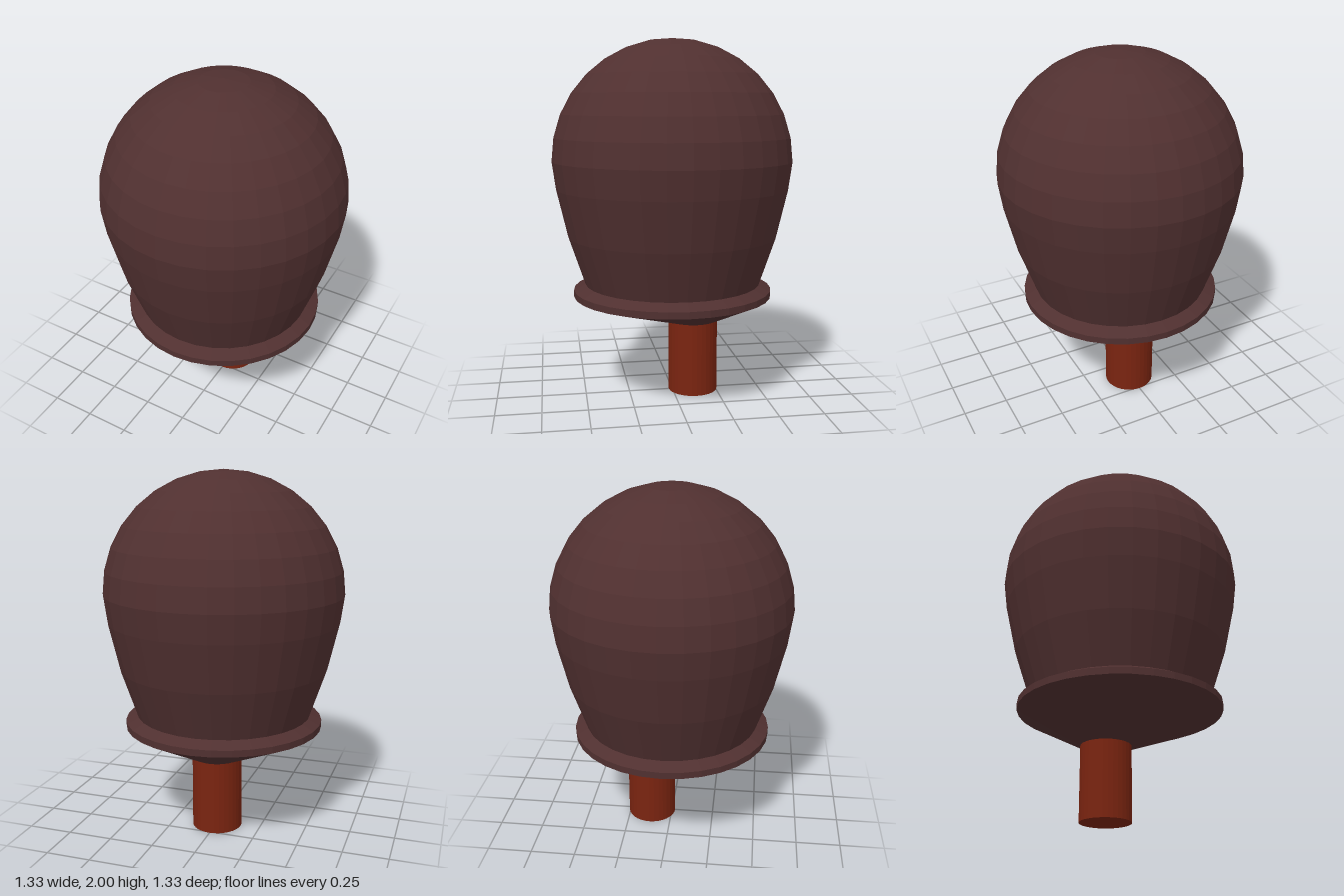
import * as THREE from 'three';

const SEGMENTS = 32;
const STICK_Z = -0.12;
const STICK_RADIUS = 0.14;
const STICK_TOP = 0.415;

// Faceted look: every face gets its own normal
function faceted(geometry) {
  const flat = geometry.toNonIndexed();
  flat.computeVertexNormals();
  return flat;
}

function lathe(profile) {
  return new THREE.LatheGeometry(profile.map(([r, y]) => new THREE.Vector2(r, y)), SEGMENTS);
}

export function createModel() {
  const group = new THREE.Group();
  const coating = new THREE.MeshStandardMaterial({ color: 0x503030 });
  coating.name = 'dark brown';
  const wood = new THREE.MeshStandardMaterial({ color: 0x7a2410 });
  wood.name = 'red brown';

  const add = (name, geometry, material) => {
    const mesh = new THREE.Mesh(faceted(geometry), material);
    mesh.name = name;
    group.add(mesh);
    return mesh;
  };

  // Tapered lower body rising into a hemispherical top
  const radius = 0.667, centreY = 1.333, rings = 8;
  const profile = [[0.493, 0.643], [0.584, 0.913], [0.646, 1.18]];
  for (let i = 0; i < rings; i++) {
    const a = (i / rings) * Math.PI / 2;
    profile.push([radius * Math.cos(a), centreY + radius * Math.sin(a)]);
  }
  profile.push([0, 2]);
  add('body', lathe(profile), coating);

  // Flared rim with a narrow upright edge
  add('rim', lathe([[0.558, 0.573], [0.558, 0.61], [0.493, 0.643]]), coating);

  // Underside cone, skewed to meet the off-centre stick
  const underside = lathe([[STICK_RADIUS, STICK_TOP], [0.558, 0.573]]);
  const p = underside.attributes.position;
  for (let i = 0; i < p.count; i++) {
    if (p.getY(i) < 0.5) p.setZ(i, p.getZ(i) + STICK_Z);
  }
  add('underside', underside, coating);

  // Stick
  const stick = add('stick', new THREE.CylinderGeometry(STICK_RADIUS, STICK_RADIUS, STICK_TOP, SEGMENTS), wood);
  stick.position.set(0, STICK_TOP / 2, STICK_Z);

  return group;
}
